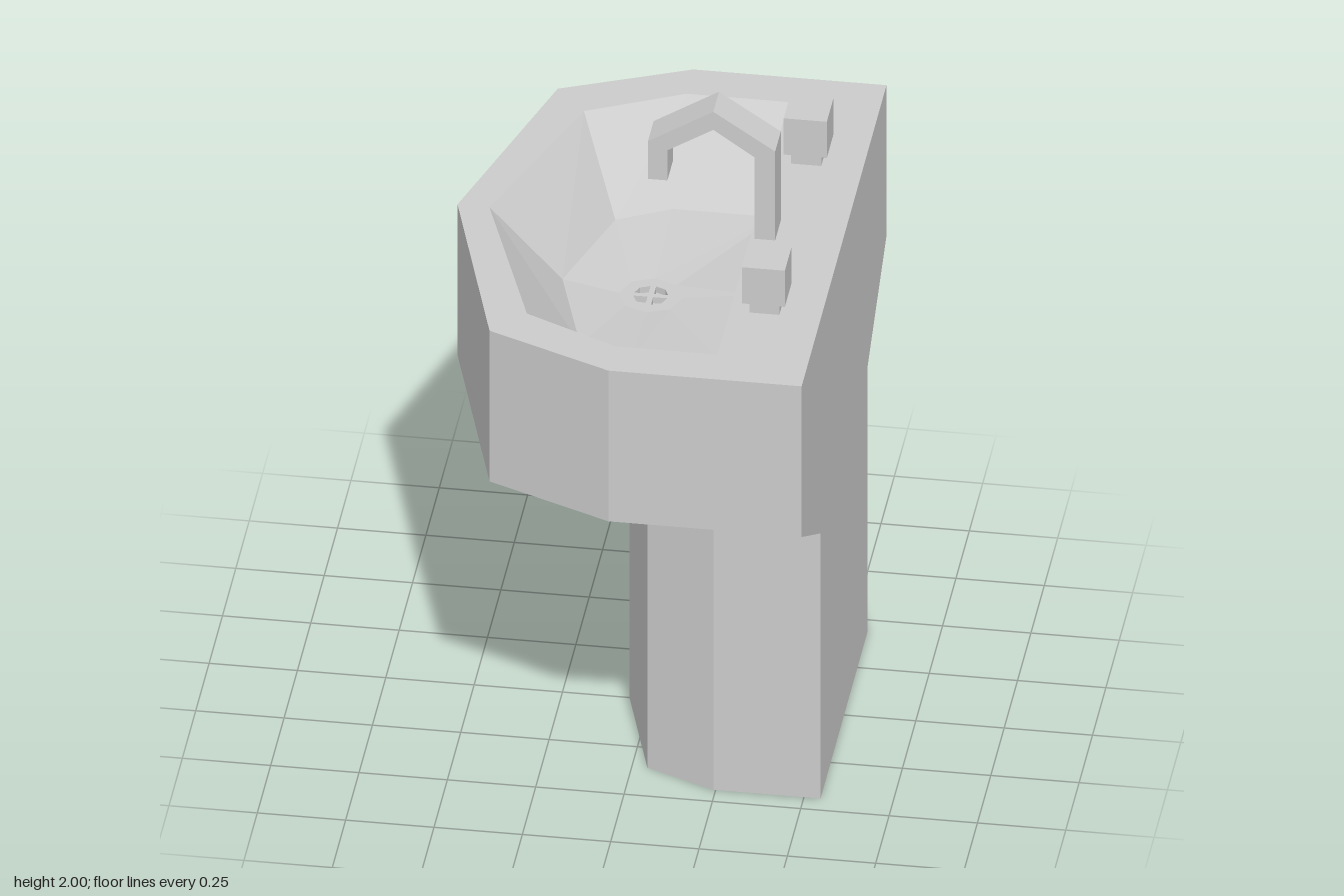
import * as THREE from 'three';

const material = new THREE.MeshStandardMaterial({ color: 0xcccccc, flatShading: true, side: THREE.DoubleSide });

// Half outlines [x, z] from the back wall to the front tip, mirrored into 8-point loops
function outline(half, y) {
  const [back, side, corner, tip] = half;
  return [
    [back[0], -back[1]], [side[0], -side[1]], [corner[0], -corner[1]], tip,
    corner, side, back, [back[0], 0],
  ].map(([x, z]) => [x, y, z]);
}

// Flat-shaded skin through a list of loops, with optional flat bottom
function loft(rings, capBottom = false) {
  const pos = [];
  const n = rings[0].length;
  for (let r = 0; r < rings.length - 1; r++) {
    const lo = rings[r], hi = rings[r + 1];
    for (let i = 0; i < n; i++) {
      const j = (i + 1) % n;
      pos.push(...lo[i], ...lo[j], ...hi[j], ...lo[i], ...hi[j], ...hi[i]);
    }
  }
  if (capBottom) {
    const b = rings[0];
    for (let i = 1; i < n - 1; i++) pos.push(...b[0], ...b[i + 1], ...b[i]);
  }
  const geometry = new THREE.BufferGeometry();
  geometry.setAttribute('position', new THREE.Float32BufferAttribute(pos, 3));
  geometry.computeVertexNormals();
  return geometry;
}

export function createModel() {
  const group = new THREE.Group();
  const add = (name, geometry, x = 0, y = 0, z = 0, parent = group) => {
    const mesh = new THREE.Mesh(geometry, material);
    mesh.name = name;
    mesh.position.set(x, y, z);
    parent.add(mesh);
  };

  const BACK = 0.547, TOP = 1.59;
  const outer = [[BACK, 0.793], [0, 0.793], [-0.36, 0.637], [-0.547, 0]];
  // The pedestal is the same outline shrunk towards the back wall
  const foot = outer.map(([x, z]) => [BACK - (BACK - x) * 0.555, z * 0.555]);
  const bowlTop = [[0.29, 0.665], [0, 0.665], [-0.27, 0.533], [-0.457, 0]];
  const bowlLow = [[0.29, 0.408], [0, 0.408], [-0.15, 0.328], [-0.25, 0]];

  // Drain octagon in the same point order as the outlines
  const octagon = Array.from({ length: 8 }, (_, i) => {
    const a = -Math.PI / 4 - i * Math.PI / 4;
    return [0.09 * Math.cos(a), 1.34, 0.09 * Math.sin(a)];
  });

  // Body
  add('pedestal', loft([outline(foot, 0), outline(foot, 0.88)], true));
  add('basinUnderside', loft([outline(foot, 0.88), outline(outer, 1.09)]));
  add('basinSides', loft([outline(outer, 1.09), outline(outer, TOP)]));
  add('rim', loft([outline(outer, TOP), outline(bowlTop, TOP)]));
  add('bowlWalls', loft([outline(bowlTop, TOP), outline(bowlLow, 1.37)]));
  add('bowlFloor', loft([outline(bowlLow, 1.37), octagon]));

  // Drain grate with four quarter-round openings
  const grate = new THREE.Shape(octagon.map(([x, , z]) => new THREE.Vector2(x, -z)));
  for (const sx of [-1, 1]) for (const sy of [-1, 1]) {
    const points = [[0.008, 0.008], [0.048, 0.008], [0.036, 0.036], [0.008, 0.048]];
    grate.holes.push(new THREE.Path(points.map(([x, y]) => new THREE.Vector2(x * sx, y * sy))));
  }
  const grateGeometry = new THREE.ExtrudeGeometry(grate, { depth: 0.02, bevelEnabled: false });
  add('drainGrate', grateGeometry.rotateX(-Math.PI / 2), 0, 1.32, 0);
  add('drainBottom', new THREE.CylinderGeometry(0.09, 0.09, 0.02, 8), 0, 1.29, 0);

  // Faucet: bent square spout
  const spout = new THREE.Shape([
    [0.36, TOP], [0.36, 1.885], [0.185, 2], [0, 1.885], [0, 1.76],
    [0.055, 1.76], [0.055, 1.86], [0.185, 1.94], [0.302, 1.86], [0.302, TOP],
  ].map(([x, y]) => new THREE.Vector2(x, y)));
  add('faucet', new THREE.ExtrudeGeometry(spout, { depth: 0.106, bevelEnabled: false }), 0, 0, -0.053);

  // Tap handles
  for (const [name, z] of [['tapFront', 0.392], ['tapBack', -0.392]]) {
    const tap = new THREE.Group();
    tap.name = name;
    tap.position.set(0.387, TOP, z);
    add('tapStem', new THREE.BoxGeometry(0.085, 0.04, 0.085), 0, 0.02, 0, tap);
    add('tapKnob', new THREE.BoxGeometry(0.122, 0.12, 0.122), 0, 0.1, 0, tap);
    group.add(tap);
  }
  return group;
}
